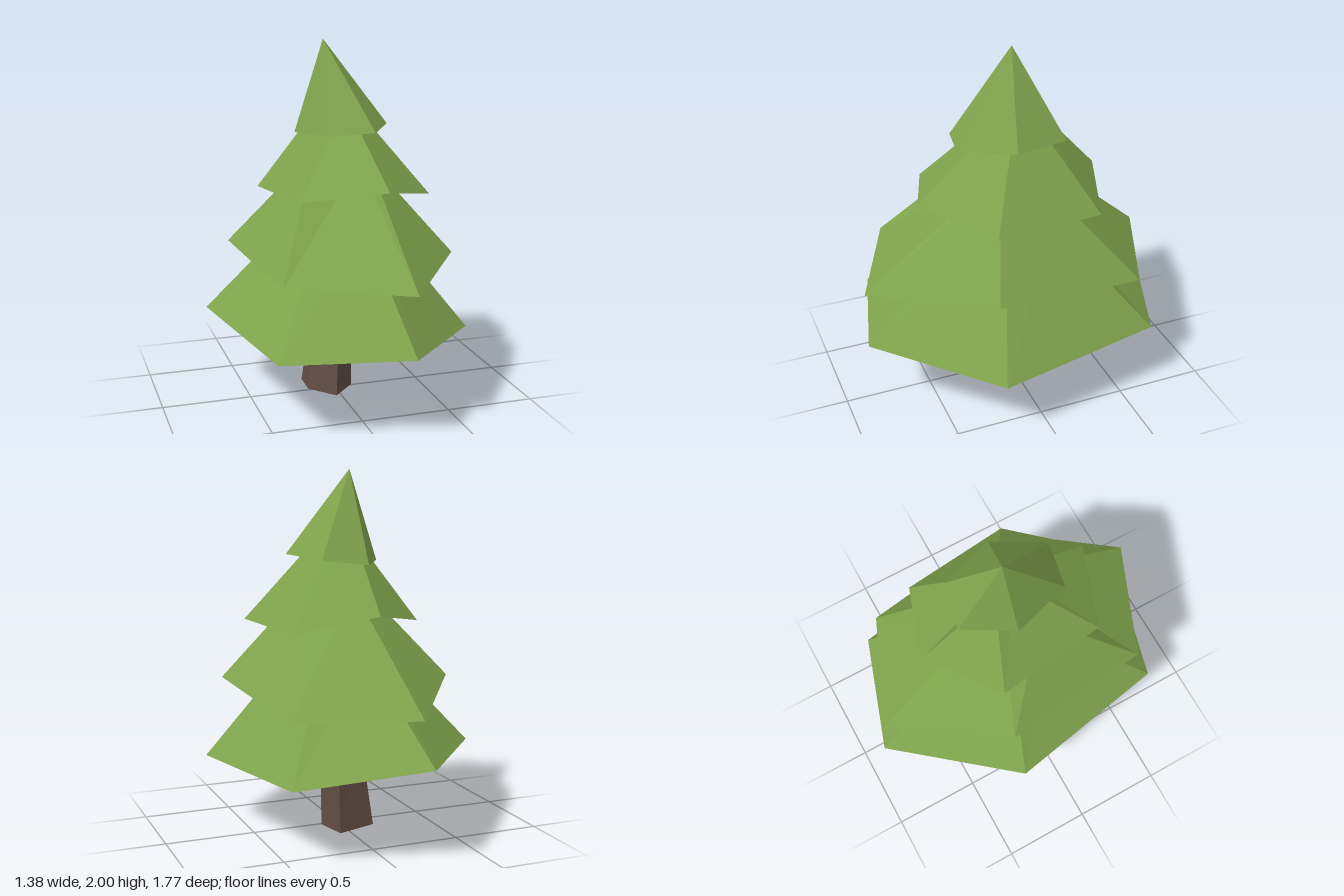
import * as THREE from 'three';

// Faceted frustum between two rings of [x, y, z] corners, listed front, right, back, left.
// A top ring with one corner makes a pointed tip; the underside fans up to height hollowY.
function loft(name, bottom, top, hollowY, sideMaterial, underMaterial) {
  const n = bottom.length;
  const sides = [];
  const under = [];
  const tri = (list, a, b, c) => list.push(...a, ...b, ...c);
  const centre = (ring) => [0, 1, 2].map((k) => ring.reduce((s, p) => s + p[k], 0) / ring.length);
  const [cx, , cz] = centre(bottom);
  const low = [cx, hollowY, cz];
  const high = centre(top);
  for (let i = 0; i < n; i++) {
    const j = (i + 1) % n;
    tri(under, low, bottom[j], bottom[i]);
    if (top.length === 1) {
      tri(sides, bottom[i], bottom[j], top[0]);
    } else {
      tri(sides, bottom[i], bottom[j], top[j]);
      tri(sides, bottom[i], top[j], top[i]);
      tri(sides, high, top[i], top[j]);
    }
  }
  const geometry = new THREE.BufferGeometry();
  geometry.setAttribute('position', new THREE.Float32BufferAttribute([...sides, ...under], 3));
  geometry.addGroup(0, sides.length / 3, 0);
  geometry.addGroup(sides.length / 3, under.length / 3, 1);
  geometry.computeVertexNormals();
  const mesh = new THREE.Mesh(geometry, [sideMaterial, underMaterial]);
  mesh.name = name;
  return mesh;
}

// Level ring from [x, z] pairs
const level = (y, pairs) => pairs.map(([x, z]) => [x, y, z]);

function flat(name, color) {
  const material = new THREE.MeshStandardMaterial({ color, flatShading: true });
  material.name = name;
  return material;
}

export function createModel() {
  const leaf = flat('leaf green', 0x7fa34c);
  const shade = flat('deep green', 0x376640);
  const bark = flat('bark brown', 0x614d43);
  const cut = flat('trunk base charcoal', 0x2e2b2e);

  const tree = new THREE.Group();
  tree.name = 'pineTree';

  // Five-sided tapering trunk
  tree.add(loft('trunk',
    [[-0.035, 0.01, 0.15], [0.10, 0, -0.005], [0.06, 0, -0.195], [-0.16, 0.01, -0.145], [-0.165, 0.015, 0.02]],
    level(0.64, [[0, 0.095], [0.10, 0], [0.06, -0.15], [-0.075, -0.11], [-0.075, 0]]),
    0.007, bark, cut));

  // Irregular six-sided branch tiers with hollow undersides, from the ground up
  const tiers = [
    ['bottomTier',
      [[0.16, 0.47, 0.885], [0.69, 0.395, 0.28], [0.51, 0.42, -0.67], [-0.17, 0.515, -0.89], [-0.695, 0.48, -0.24], [-0.515, 0.455, 0.71]],
      level(1.02, [[0.08, 0.26], [0.21, 0.10], [0.17, -0.19], [-0.06, -0.25], [-0.21, -0.07], [-0.14, 0.19]]), 0.62],
    ['lowerMiddleTier',
      [[0.16, 0.805, 0.885], [0.59, 0.84, 0.28], [0.49, 0.745, -0.585], [-0.13, 0.76, -0.84], [-0.56, 0.865, -0.24], [-0.465, 0.82, 0.62]],
      level(1.35, [[0.10, 0.12], [0.16, 0.11], [0.13, -0.08], [-0.03, -0.17], [-0.13, -0.07], [-0.17, 0.12]]), 1.08],
    ['upperMiddleTier',
      [[0.12, 1.26, 0.56], [0.465, 1.17, 0.24], [0.40, 1.16, -0.375], [-0.03, 1.25, -0.52], [-0.39, 1.175, -0.21], [-0.32, 1.205, 0.41]],
      level(1.66, [[0.045, 0.06], [0.09, 0], [0.08, -0.09], [-0.03, -0.15], [-0.05, -0.08], [-0.03, 0.04]]), 1.30],
    ['topTier',
      [[0.12, 1.535, 0.335], [0.28, 1.54, 0.06], [0.19, 1.525, -0.255], [-0.06, 1.495, -0.30], [-0.22, 1.50, -0.035], [-0.13, 1.52, 0.29]],
      [[-0.055, 2, -0.04]], 1.64],
  ];
  for (const [name, bottom, top, hollowY] of tiers) tree.add(loft(name, bottom, top, hollowY, leaf, shade));

  return tree;
}
